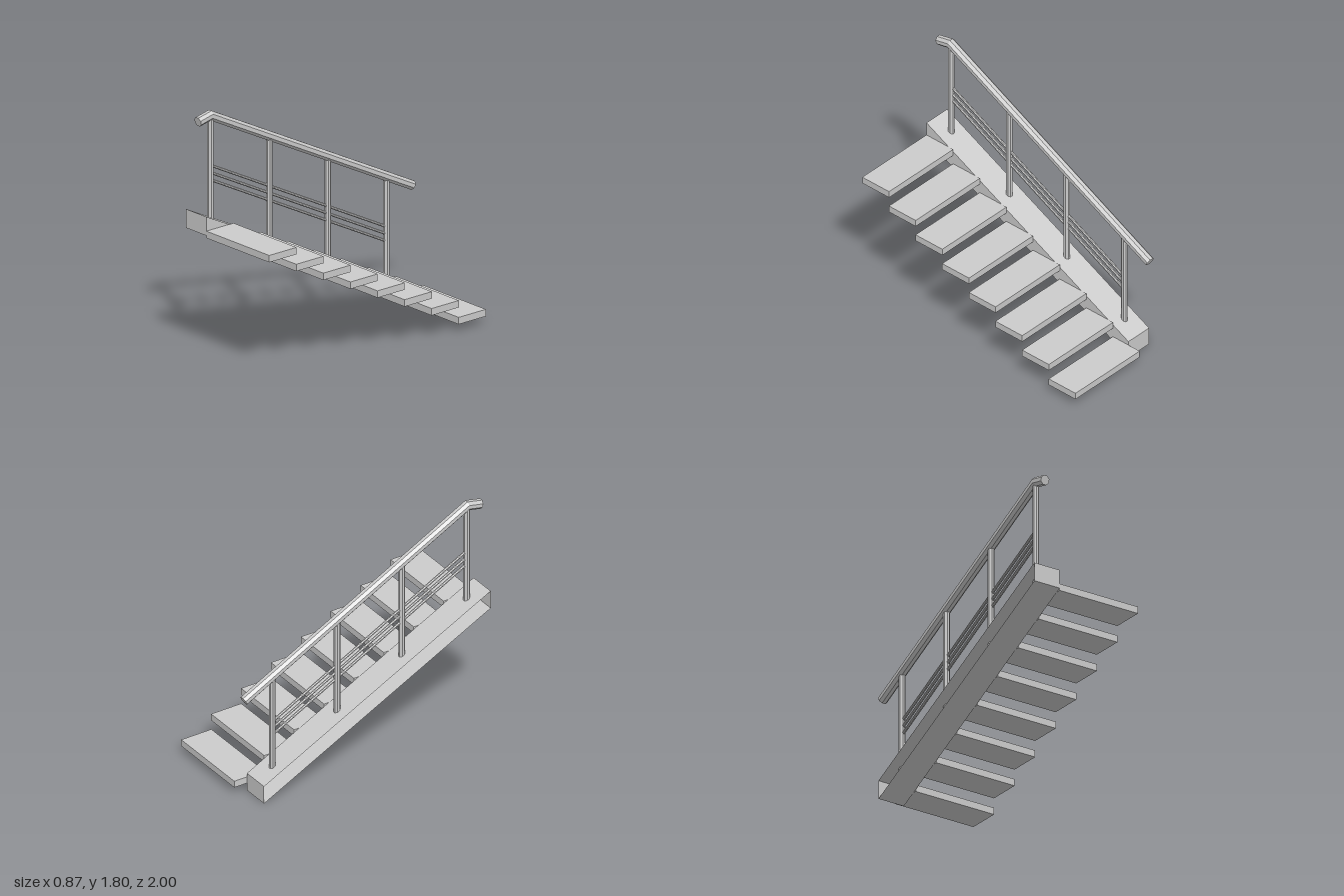
import * as THREE from 'three';

const RAIL_X = -0.335;
const SIDES = 8;

// Octagonal bar swept through [z, y] points, with mitred bends and capped ends
function sweptBar(points, radius) {
  const pts = points.map(([z, y]) => new THREE.Vector3(RAIL_X, y, z));
  const last = pts.length - 1;
  const xAxis = new THREE.Vector3(1, 0, 0);
  const rings = pts.map((p, i) => {
    const tIn = pts[Math.max(i, 1)].clone().sub(pts[Math.max(i, 1) - 1]).normalize();
    const k = Math.min(i, last - 1);
    const tOut = pts[k + 1].clone().sub(pts[k]).normalize();
    const t = tIn.clone().add(tOut).normalize();
    const n = t.clone().cross(xAxis);
    const stretch = radius / t.dot(tOut);
    return Array.from({ length: SIDES }, (_, j) => {
      const a = ((j + 0.5) / SIDES) * Math.PI * 2;
      return p.clone().addScaledVector(xAxis, radius * Math.cos(a)).addScaledVector(n, stretch * Math.sin(a));
    });
  });
  const tris = [];
  for (let j = 0; j < SIDES; j++) {
    const k = (j + 1) % SIDES;
    for (let i = 0; i < last; i++) {
      const [a, b, c, d] = [rings[i][j], rings[i][k], rings[i + 1][k], rings[i + 1][j]];
      tris.push(a, b, c, a, c, d);
    }
    tris.push(pts[0], rings[0][k], rings[0][j], pts[last], rings[last][j], rings[last][k]);
  }
  const geometry = new THREE.BufferGeometry().setFromPoints(tris);
  geometry.computeVertexNormals();
  return geometry;
}

export function createModel() {
  const group = new THREE.Group();
  const material = new THREE.MeshStandardMaterial({ color: 0xcccccc, flatShading: true });
  const openMaterial = new THREE.MeshStandardMaterial({ color: 0xcccccc, flatShading: true, side: THREE.DoubleSide });

  const add = (name, geometry, mat = material) => {
    const mesh = new THREE.Mesh(geometry, mat);
    mesh.name = name;
    group.add(mesh);
    return mesh;
  };

  // Sloping stringer: a sheared box, open along its outer side
  const zBack = -0.885, zFront = 1, slope = 0.5;
  const stringer = new THREE.BoxGeometry(0.213, 0.138, zFront - zBack);
  const index = Array.from(stringer.index.array);
  index.splice(6, 6);
  stringer.setIndex(index);
  stringer.clearGroups();
  stringer.translate(-0.3315, 0, (zFront + zBack) / 2);
  const pos = stringer.attributes.position;
  for (let i = 0; i < pos.count; i++) {
    pos.setY(i, pos.getY(i) + 0.069 + slope * (pos.getZ(i) - zBack));
  }
  stringer.computeVertexNormals();
  add('stringer', stringer, openMaterial);

  // Treads cantilevered from the stringer
  for (let i = 0; i < 8; i++) {
    const tread = add('tread' + (i + 1), new THREE.BoxGeometry(0.66, 0.051, 0.25));
    tread.position.set(0.105, 0.083 + i * 0.1239, -0.865 + i * 0.2486);
  }

  // Handrail with a short bent top end
  add('handrail', sweptBar([[0.982, 1.744], [0.872, 1.768], [-0.985, 0.815]], 0.036));

  // Posts standing on the stringer
  [0.868, 0.328, -0.21, -0.748].forEach((z, i) => {
    const base = 0.125 + slope * (z - zBack);
    const top = 1.766 + 0.513 * (z - 0.872);
    add('post' + (i + 1), sweptBar([[z, base], [z, top]], 0.024));
  });

  // Thin parallel infill bars
  for (let i = 0; i < 3; i++) {
    const drop = i * 0.053;
    add('infillBar' + (i + 1), sweptBar([[0.868, 1.4 - drop], [-0.748, 0.566 - drop]], 0.011));
  }

  return group;
}
